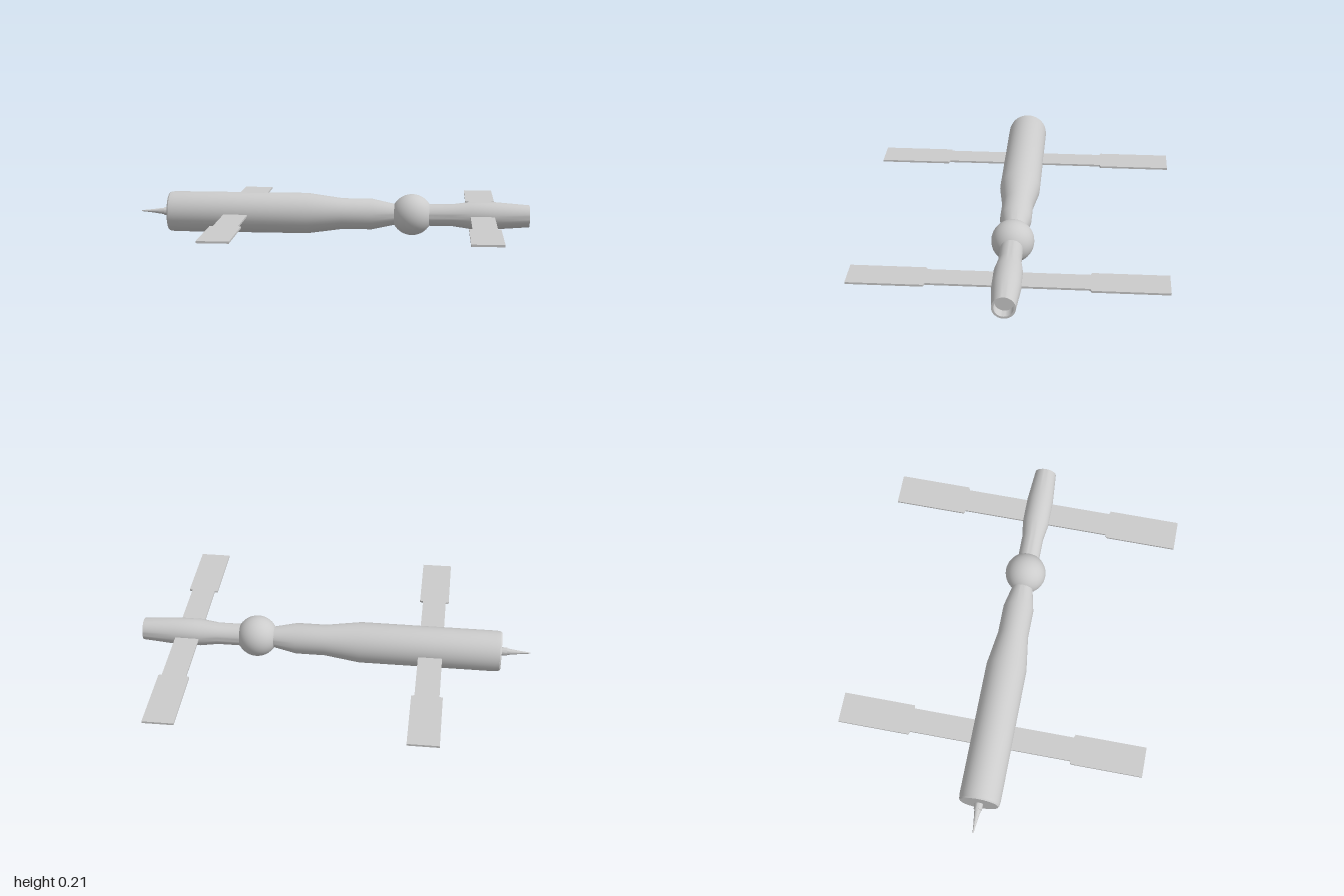
import * as THREE from 'three';
import { toCreasedNormals } from 'three/addons/utils/BufferGeometryUtils.js';

const AXIS_Y = 0.105, AXIS_Z = 0.005;

export function createModel() {
  const model = new THREE.Group();
  const material = new THREE.MeshStandardMaterial({ color: 0xcccccc });

  function add(name, geometry, x, y, z) {
    const mesh = new THREE.Mesh(geometry, material);
    mesh.name = name;
    mesh.position.set(x, y, z);
    model.add(mesh);
  }

  // Turned part along x; profile is a list of [x, radius]
  function turned(name, profile, segments = 40) {
    const points = profile.map(([x, r]) => new THREE.Vector2(r, x));
    const geometry = new THREE.LatheGeometry(points, segments).rotateZ(-Math.PI / 2);
    add(name, toCreasedNormals(geometry, 0.35), 0, AXIS_Y, AXIS_Z);
  }

  // Main hull: wide cylinder, tapering in two steps toward the node
  turned('mainHull', [
    [-0.85, 0], [-0.85, 0.096], [-0.843, 0.101], [-0.82, 0.104], [-0.13, 0.104],
    [0.05, 0.079], [0.2, 0.079], [0.315, 0.054], [0.36, 0.054],
  ]);

  // Spherical node joining the two hulls
  add('nodeSphere', new THREE.SphereGeometry(0.105, 40, 24), 0.405, AXIS_Y, AXIS_Z);

  // Forward hull with a recessed open end
  turned('forwardHull', [
    [0.45, 0.056], [0.61, 0.056], [0.70, 0.069], [0.83, 0.069],
    [1, 0.056], [1, 0.046], [0.95, 0.046], [0.95, 0],
  ]);

  // Docking probe at the other end
  turned('probe', [
    [-1, 0], [-0.998, 0.003], [-0.955, 0.007], [-0.88, 0.017],
    [-0.88, 0.021], [-0.845, 0.021],
  ], 20);

  // Solar wings: narrow inner arm widening into an outer panel, both sides
  function wings(name, x, zMid, step, tip) {
    for (const side of [1, -1]) {
      const shape = new THREE.Shape();
      const outline = [
        [-0.061, 0], [0.061, 0], [0.061, step - 0.006], [0.077, step],
        [0.077, tip], [-0.077, tip], [-0.077, step], [-0.061, step - 0.006],
      ];
      shape.setFromPoints(outline.map(([u, v]) => new THREE.Vector2(u, v * side)));
      const geometry = new THREE.ExtrudeGeometry(shape, { depth: 0.01, bevelEnabled: false });
      geometry.translate(0, 0, -0.005).rotateX(Math.PI / 2);
      add(name + (side > 0 ? 'Front' : 'Back'), geometry, x, AXIS_Y, zMid);
    }
  }
  wings('mainWing', -0.493, 0, 0.413, 0.773);
  wings('forwardWing', 0.763, 0.002, 0.386, 0.748);

  return model;
}
